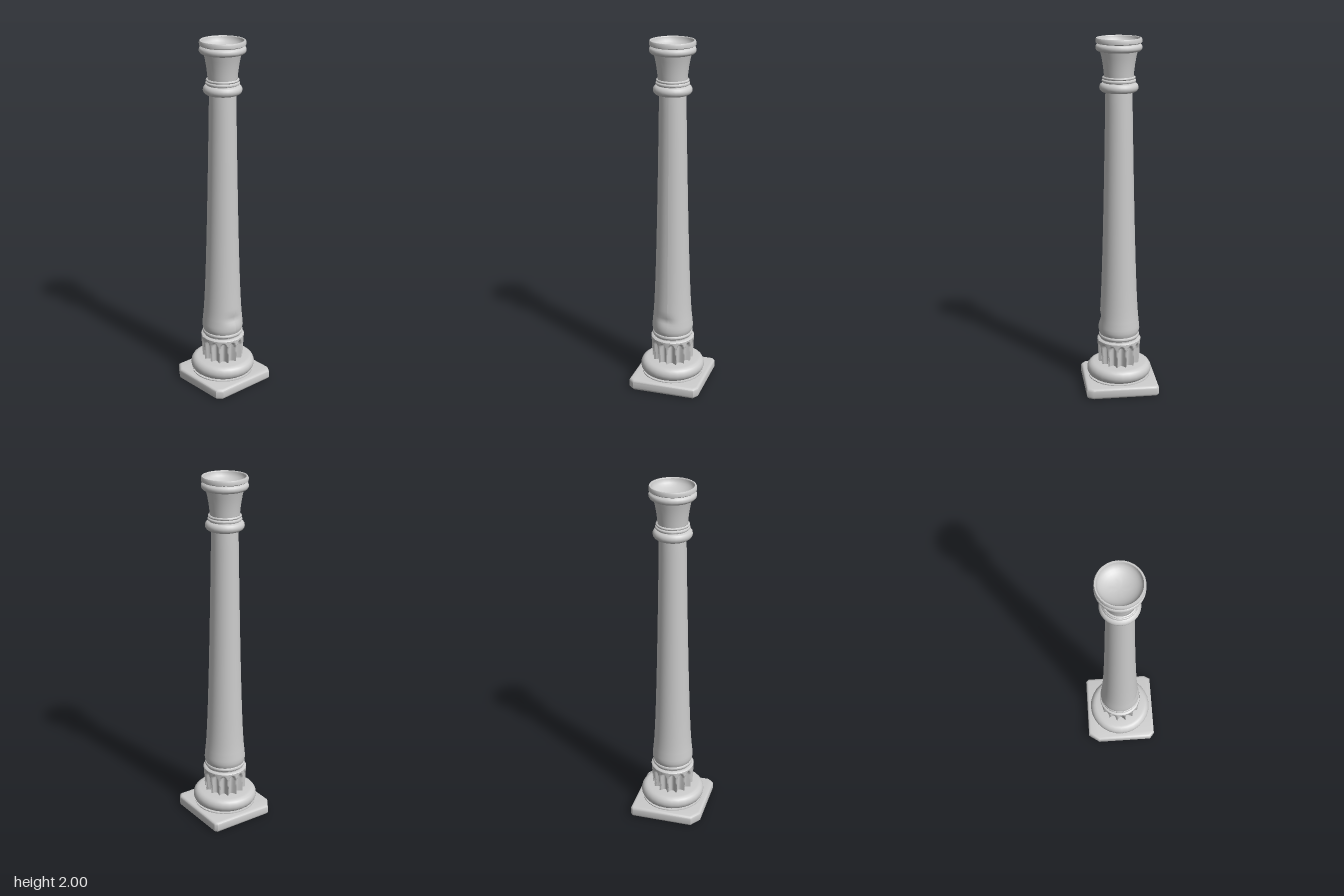
import * as THREE from 'three';
import { toCreasedNormals } from 'three/addons/utils/BufferGeometryUtils.js';
import { ParametricGeometry } from 'three/addons/geometries/ParametricGeometry.js';

const material = new THREE.MeshStandardMaterial({ color: 0xcccccc, side: THREE.DoubleSide });
const SEGMENTS = 28;

export function createModel() {
  const column = new THREE.Group();
  column.name = 'column';

  function add(name, geometry) {
    const mesh = new THREE.Mesh(geometry, material);
    mesh.name = name;
    column.add(mesh);
    return mesh;
  }
  // Turned part from [radius, height] pairs, bottom to top
  function turned(name, pairs) {
    const points = pairs.map(([r, y]) => new THREE.Vector2(r, y));
    return add(name, toCreasedNormals(new THREE.LatheGeometry(points, SEGMENTS), 0.8));
  }
  // Rounded moulding: half an ellipse between two heights, bulging from inner to outer radius
  function bulge(inner, outer, y0, y1, steps = 8) {
    return Array.from({ length: steps + 1 }, (_, i) => {
      const a = -Math.PI / 2 + (Math.PI * i) / steps;
      return [inner + (outer - inner) * Math.cos(a), (y0 + y1) / 2 + ((y1 - y0) / 2) * Math.sin(a)];
    });
  }

  // Square plinth with unevenly worn corners and rounded edges
  const bevel = 0.016;
  const corners = [
    [-0.175, -0.205], [0.183, -0.205], [0.205, -0.17], [0.204, 0.19],
    [0.19, 0.205], [-0.163, 0.207], [-0.207, 0.143], [-0.207, -0.178],
  ];
  const outline = new THREE.Shape(corners.map(([x, y]) => new THREE.Vector2(x, y)));
  const plinth = new THREE.ExtrudeGeometry(outline, {
    depth: 0.062 - 2 * bevel, bevelSize: bevel, bevelOffset: -bevel,
    bevelThickness: bevel, bevelSegments: 3,
  });
  plinth.rotateX(-Math.PI / 2).translate(0, bevel, 0);
  add('plinth', toCreasedNormals(plinth, 0.7));

  // Thick cushion ring on the plinth
  turned('baseRing', [
    [0.175, 0.06], [0.175, 0.067], ...bulge(0.148, 0.184, 0.067, 0.146), [0.09, 0.148],
  ]);

  // Drum with arched flutes between thin ribs
  const flutes = 14, drumBottom = 0.143, drumTop = 0.288;
  const drum = new ParametricGeometry((u, v, target) => {
    const angle = u * Math.PI * 2;
    const y = drumBottom + (drumTop - drumBottom) * v;
    const t = 2 * ((u * flutes) % 1) - 1;
    const arch = 0.215 + 0.063 * Math.sqrt(Math.max(0, 1 - t * t));
    const fade = THREE.MathUtils.smoothstep(arch - y, 0, 0.018);
    const r = 0.117 + 0.007 * v - 0.027 * (1 - t * t) * fade;
    target.set(r * Math.sin(angle), y, r * Math.cos(angle));
  }, flutes * 8, 22);
  add('flutedDrum', drum);
  turned('drumCollar', [
    [0.124, 0.288], [0.119, 0.293], [0.107, 0.295], [0.107, 0.302], ...bulge(0.107, 0.116, 0.302, 0.324, 6),
  ]);

  // Tapering shaft, swollen at the foot, with a shallow dent in front
  const shaftProfile = [[0.109, 0.322], [0.114, 0.335], [0.117, 0.35], [0.116, 0.37], [0.114, 0.385]];
  for (let i = 0; i <= 24; i++) {
    const k = i / 24;
    shaftProfile.push([0.113 - 0.04 * k, 0.4 + 0.012 * i + (1.71 - 0.4 - 0.288) * k * k]);
  }
  const shaft = new THREE.LatheGeometry(
    shaftProfile.map(([r, y]) => new THREE.Vector2(r, y)), 40);
  const p = shaft.attributes.position;
  for (let i = 0; i < p.count; i++) {
    const x = p.getX(i), y = p.getY(i), z = p.getZ(i);
    if (z > 0) {
      const dent = Math.exp(-(((x + 0.01) / 0.045) ** 2) - ((y - 0.415) / 0.025) ** 2);
      p.setZ(i, z - 0.011 * dent);
    }
  }
  shaft.computeVertexNormals();
  add('shaft', shaft);

  // Necking rings below the capital
  turned('neckRing', [[0.07, 1.712], ...bulge(0.082, 0.106, 1.712, 1.762), [0.08, 1.764]]);
  turned('upperNeckRings', [
    [0.084, 1.762], ...bulge(0.084, 0.093, 1.765, 1.78, 5), ...bulge(0.083, 0.09, 1.782, 1.796, 5),
  ]);

  // Flaring bell of the capital
  turned('capitalBell', [
    [0.08, 1.795], [0.082, 1.82], [0.087, 1.86], [0.094, 1.9], [0.101, 1.93],
  ]);

  // Double rim and the shallow dish in the top
  turned('capitalRim', [
    [0.1, 1.928], ...bulge(0.108, 0.126, 1.93, 1.97, 7),
    [0.118, 1.972], [0.124, 1.976], [0.125, 1.992], [0.121, 2], [0.114, 2], [0.112, 1.996],
  ]);
  const dish = [];
  for (let i = 0; i <= 8; i++) {
    const a = (i / 8) * Math.PI / 2;
    dish.push([0.112 * Math.cos(a), 1.996 - 0.055 * Math.sin(a)]);
  }
  turned('topDish', dish);

  return column;
}
